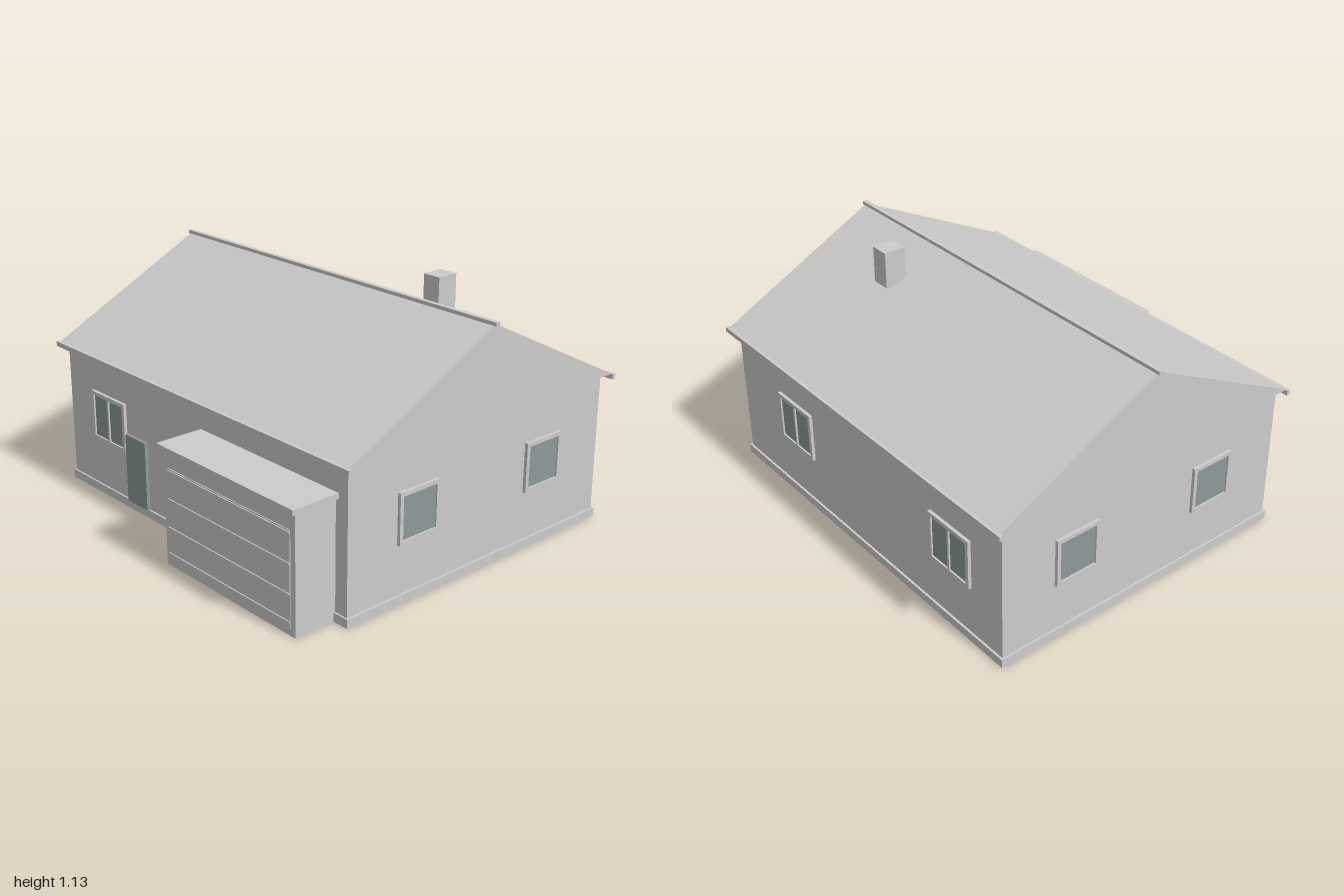
import * as THREE from 'three';

export function createModel() {
  const house = new THREE.Group();
  house.name = 'house';
  const plaster = new THREE.MeshStandardMaterial({ color: 0xcccccc });
  plaster.name = 'light grey';
  const glass = new THREE.MeshStandardMaterial({ color: 0x8e999a });
  glass.name = 'blue grey glass';

  // Box given by its extents on each axis
  function box(name, mat, x0, x1, y0, y1, z0, z1, parent = house) {
    const mesh = new THREE.Mesh(new THREE.BoxGeometry(x1 - x0, y1 - y0, z1 - z0), mat);
    mesh.position.set((x0 + x1) / 2, (y0 + y1) / 2, (z0 + z1) / 2);
    mesh.name = name;
    parent.add(mesh);
    return mesh;
  }

  // Walls and plinth
  box('walls', plaster, -0.957, 0.955, 0.04, 0.685, -0.845, 0.66);
  box('plinth', plaster, -0.967, 0.965, 0, 0.04, -0.855, 0.668);

  // Solid gable roof
  const gable = new THREE.Shape([
    new THREE.Vector2(-0.69, 0.685),
    new THREE.Vector2(0.88, 0.685),
    new THREE.Vector2(0.095, 1.08),
  ]);
  const roofGeometry = new THREE.ExtrudeGeometry(gable, { depth: 1.975, bevelEnabled: false });
  roofGeometry.rotateY(Math.PI / 2).translate(-0.9875, 0, 0);
  const roof = new THREE.Mesh(roofGeometry, plaster);
  roof.name = 'roof';
  house.add(roof);
  box('ridgeCap', plaster, -1, 1, 1.074, 1.09, -0.106, -0.084);
  box('frontGutter', plaster, -1, 1, 0.664, 0.687, 0.682, 0.7);
  box('backGutter', plaster, -1, 1, 0.664, 0.687, -0.89, -0.872);
  box('chimney', plaster, 0.412, 0.502, 0.96, 1.13, -0.387, -0.282);

  // Garage with a flat roof and a ribbed door
  box('garage', plaster, 0.063, 0.888, 0, 0.53, 0.66, 0.864);
  box('garageRoof', plaster, 0.05, 0.904, 0.53, 0.554, 0.66, 0.89);
  box('garageDoor', plaster, 0.09, 0.86, 0.03, 0.45, 0.864, 0.868);
  for (const y of [0.06, 0.18, 0.31, 0.44]) {
    box('garageDoorRib', plaster, 0.09, 0.86, y - 0.004, y + 0.004, 0.868, 0.873);
  }

  // Front door
  box('frontDoor', glass, -0.497, -0.347, 0.04, 0.367, 0.66, 0.677);

  // Window facing +z: a frame with one hole per pane, glass set inside it
  function addWindow(name, w, h, panes, x, y, z, turn) {
    const border = 0.018;
    const mullion = 0.01;
    const paneW = (w - 2 * border - (panes - 1) * mullion) / panes;
    const group = new THREE.Group();
    group.name = name;
    const outline = new THREE.Shape([
      new THREE.Vector2(-w / 2, -h / 2), new THREE.Vector2(w / 2, -h / 2),
      new THREE.Vector2(w / 2, h / 2), new THREE.Vector2(-w / 2, h / 2),
    ]);
    for (let i = 0; i < panes; i++) {
      const x0 = -w / 2 + border + i * (paneW + mullion);
      const x1 = x0 + paneW;
      const y1 = h / 2 - border;
      outline.holes.push(new THREE.Path([
        new THREE.Vector2(x0, -y1), new THREE.Vector2(x0, y1),
        new THREE.Vector2(x1, y1), new THREE.Vector2(x1, -y1),
      ]));
      box('pane', glass, x0, x1, -y1, y1, 0, 0.007, group);
    }
    const frame = new THREE.Mesh(
      new THREE.ExtrudeGeometry(outline, { depth: 0.015, bevelEnabled: false }), plaster);
    frame.name = 'windowFrame';
    group.add(frame);
    group.position.set(x, y, z);
    group.rotation.y = turn;
    house.add(group);
  }

  addWindow('frontWindow', 0.26, 0.235, 2, -0.635, 0.387, 0.66, 0);
  for (const x of [-0.635, 0.495]) {
    addWindow('backWindow', 0.26, 0.235, 2, x, 0.387, -0.845, Math.PI);
  }
  for (const z of [0.283, -0.468]) {
    addWindow('leftWindow', 0.222, 0.228, 1, 0.955, 0.378, z, Math.PI / 2);
    addWindow('rightWindow', 0.222, 0.228, 1, -0.957, 0.378, z, -Math.PI / 2);
  }
  return house;
}
